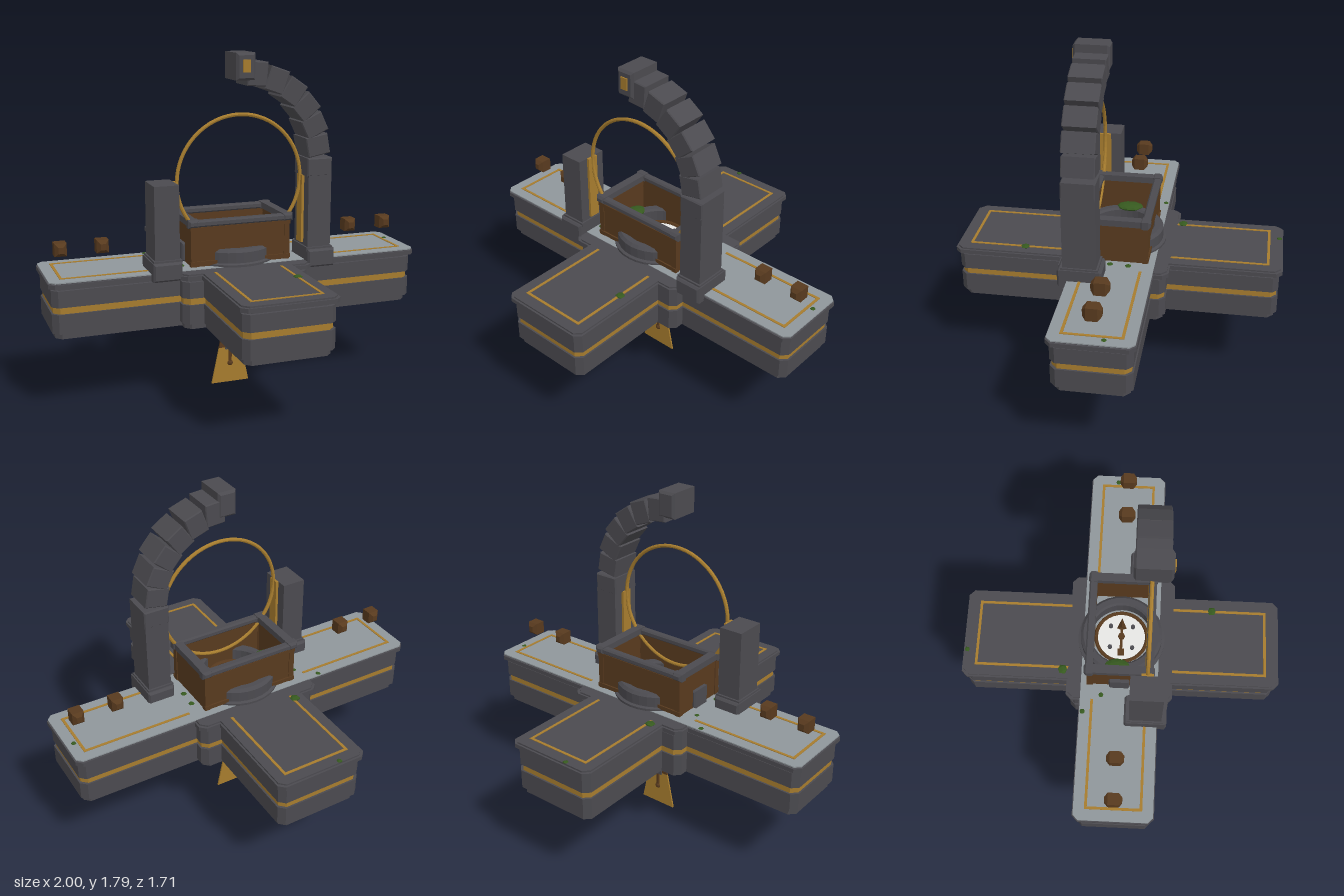
import * as THREE from 'three';

const mat = (name, color, extra = {}) => {
  const m = new THREE.MeshStandardMaterial({ color, flatShading: true, ...extra });
  m.name = name;
  return m;
};

export function createModel() {
  const root = new THREE.Group();
  const dark = mat('darkStone', 0x4b4a4f);
  const pale = mat('paleStone', 0x8f969a);
  const gold = mat('gold', 0xa67c2e);
  const brown = mat('bronze', 0x583a1e);
  const moss = mat('moss', 0x36591f);
  const white = mat('dialWhite', 0xeeeeec);

  const add = (name, geo, m, x = 0, y = 0, z = 0, parent = root) => {
    const mesh = new THREE.Mesh(geo, m);
    mesh.name = name;
    mesh.position.set(x, y, z);
    parent.add(mesh);
    return mesh;
  };
  const box = (name, m, w, h, d, x, y, z) => add(name, new THREE.BoxGeometry(w, h, d), m, x, y, z);
  // box with chamfered edges
  const chamferBox = (name, m, w, h, d, c, x, y, z) => {
    const a = w / 2 - c, b = h / 2 - c;
    const s = new THREE.Shape([[-a, -b], [a, -b], [a, b], [-a, b]].map(p => new THREE.Vector2(...p)));
    const g = new THREE.ExtrudeGeometry(s, { depth: d - 2 * c, bevelEnabled: true, bevelSize: c, bevelThickness: c, bevelSegments: 1 });
    g.translate(0, 0, -d / 2 + c);
    return add(name, g, m, x, y, z);
  };
  // horizontal outline raised from y0 to y1
  const slab = (name, m, pts, y0, y1) => {
    const s = new THREE.Shape(pts.map(p => new THREE.Vector2(...p)));
    const g = new THREE.ExtrudeGeometry(s, { depth: y1 - y0, bevelEnabled: false });
    g.rotateX(-Math.PI / 2);
    return add(name, g, m, 0, y0, 0);
  };
  // mirror a quarter outline into all four quadrants
  const mirror4 = q => {
    const r = [...q].reverse();
    return [...q, ...r.map(([x, z]) => [-x, z]), ...q.map(([x, z]) => [-x, -z]), ...r.map(([x, z]) => [x, -z])];
  };
  const cross = d => {
    const c = 0.03, X = 1 - d, Z = 0.855 - d, ax = 0.25 - d, az = 0.212 - d, cx = 0.355 - d, cz = 0.285 - d;
    return mirror4([[X, az - c], [X - c, az], [cx, az], [cx, cz - c], [cx - c, cz], [ax, cz], [ax, Z - c], [ax - c, Z]]);
  };

  // stepped cross-shaped platform
  [
    ['platformFoot', dark, 0.03, 0.42, 0.45],
    ['lowerCourse', dark, 0.015, 0.45, 0.55],
    ['goldBand', gold, 0.024, 0.55, 0.585],
    ['upperCourse', dark, 0.015, 0.585, 0.67],
    ['capRecess', dark, 0.03, 0.67, 0.683],
    ['cap', dark, 0, 0.683, 0.705],
    ['capTop', dark, 0.01, 0.705, 0.713],
  ].forEach(([n, m, d, y0, y1]) => slab(n, m, cross(d), y0, y1));
  slab('paleDeck', pale, mirror4([[0.995, 0.18], [0.968, 0.207]]), 0.71, 0.716);

  // gold inlays on the four arms
  for (const s of [-1, 1]) {
    box('inlayEnd', gold, 0.014, 0.006, 0.3, s * 0.93, 0.716, 0);
    box('inlayEnd', gold, 0.37, 0.006, 0.014, 0, 0.713, s * 0.78);
    for (const t of [-1, 1]) {
      box('inlaySide', gold, 0.58, 0.006, 0.014, s * 0.64, 0.716, t * 0.143);
      box('inlaySide', gold, 0.014, 0.006, 0.5, s * 0.178, 0.713, t * 0.53);
    }
  }

  // round kerb around the centre
  const kerb = [[0.165, 0.71], [0.165, 0.79], [0.175, 0.8], [0.205, 0.8], [0.22, 0.785], [0.22, 0.73], [0.235, 0.725], [0.235, 0.71]]
    .reverse().map(p => new THREE.Vector2(...p));
  const kerbMat = dark.clone();
  kerbMat.side = THREE.DoubleSide;
  add('kerbRing', new THREE.LatheGeometry(kerb, 32), kerbMat);

  // dial, needle and studs
  add('dial', new THREE.CylinderGeometry(0.135, 0.135, 0.02, 32), white, 0, 0.725, 0);
  const rim = add('dialRim', new THREE.TorusGeometry(0.138, 0.01, 6, 32), brown, 0, 0.738, 0);
  rim.rotation.x = Math.PI / 2;
  box('needle', brown, 0.15, 0.012, 0.014, -0.02, 0.75, 0);
  const tip = add('needleTip', new THREE.ConeGeometry(0.026, 0.06, 4), brown, 0.075, 0.75, 0);
  tip.rotation.z = -Math.PI / 2;
  box('needleTail', brown, 0.035, 0.012, 0.035, -0.09, 0.75, 0);
  add('needleHub', new THREE.CylinderGeometry(0.018, 0.018, 0.02, 8), brown, 0, 0.75, 0);
  for (const x of [-0.06, 0.06]) for (const z of [-0.06, 0.06])
    add('dialStud', new THREE.CylinderGeometry(0.012, 0.012, 0.015, 8), dark, x, 0.742, z);

  // open bronze chest with stone rim
  for (const s of [-1, 1]) {
    box('chestLongWall', brown, 0.53, 0.215, 0.022, 0, 0.825, s * 0.156);
    box('chestEndWall', brown, 0.022, 0.215, 0.3, s * 0.254, 0.825, 0);
    box('chestBaseTrim', brown, 0.545, 0.022, 0.012, 0, 0.735, s * 0.169);
    box('chestTopTrim', brown, 0.545, 0.02, 0.012, 0, 0.915, s * 0.169);
    chamferBox('rimLong', dark, 0.56, 0.034, 0.042, 0.008, 0, 0.942, s * 0.158);
    chamferBox('rimEnd', dark, 0.046, 0.034, 0.35, 0.008, s * 0.256, 0.944, 0);
    for (const t of [-1, 1]) {
      box('chestPost', brown, 0.03, 0.215, 0.03, s * 0.255, 0.825, t * 0.156);
      chamferBox('rimCorner', dark, 0.056, 0.042, 0.056, 0.012, s * 0.257, 0.943, t * 0.156);
    }
  }
  chamferBox('chestSidePlate', dark, 0.022, 0.1, 0.11, 0.008, -0.273, 0.77, 0);

  // two pillars with plinths and gold ring mounts
  for (const [s, top] of [[-1, 1.16], [1, 1.17]]) {
    chamferBox('plinth', dark, 0.15, 0.095, 0.225, 0.01, s * 0.415, 0.728, 0.145);
    box('plinthStep', dark, 0.145, 0.02, 0.19, s * 0.411, 0.775, 0.145);
    box('pillar', dark, 0.128, top - 0.76, 0.17, s * 0.411, (top + 0.76) / 2, 0.145);
    box('ringMount', gold, 0.014, 0.36, 0.06, s * 0.34, 0.98, 0.145);
  }

  // broken arch of stone blocks
  chamferBox('archBlock', dark, 0.137, 0.095, 0.172, 0.006, 0.409, 1.205, 0.145);
  for (let i = 0; i < 6; i++) {
    const deg = 6 + i * 15, a = deg * Math.PI / 180, r = 0.4 + 0.004 * i;
    const b = chamferBox('archBlock', dark, 0.122, 0.104, 0.168, 0.005, r * Math.cos(a), 1.275 + r * Math.sin(a), 0.145);
    b.rotation.z = a + 0.08;
  }
  chamferBox('archHead', dark, 0.1, 0.135, 0.185, 0.012, 0, 1.727, 0.148);
  box('archHeadPlate', gold, 0.04, 0.062, 0.008, 0, 1.73, 0.243);

  // large gold hoop
  add('hoop', new THREE.TorusGeometry(0.334, 0.01, 8, 64), gold, 0, 1.15, 0.145);

  // floating bronze nuggets
  for (const x of [-0.905, -0.692, 0.692, 0.905])
    chamferBox('floatingStone', brown, 0.062, 0.068, 0.092, 0.018, x, 0.832, 0);

  // hanging bracket with bolts
  add('bracket', new THREE.CylinderGeometry(0.068, 0.068, 0.03, 12), brown, 0, 0.405, 0);
  add('bracketLower', new THREE.CylinderGeometry(0.055, 0.045, 0.026, 12), brown, 0, 0.378, 0);
  for (let i = 0; i < 6; i++) {
    const a = i * Math.PI / 3;
    add('bracketBolt', new THREE.CylinderGeometry(0.012, 0.012, 0.04, 6), brown, 0.056 * Math.cos(a), 0.384, 0.056 * Math.sin(a));
  }

  // pendant blade, bronze above and gold below
  const plate = (name, m, y0, w0, y1, w1, t) => {
    const s = new THREE.Shape([[-w0, y0], [w0, y0], [w1, y1], [-w1, y1]].map(p => new THREE.Vector2(...p)));
    const g = new THREE.ExtrudeGeometry(s, { depth: t, bevelEnabled: false });
    return add(name, g, m, 0, 0, -t / 2);
  };
  plate('pendantBlade', gold, 0, 0.106, 0.2, 0.064, 0.009);
  plate('pendantTop', brown, 0.2, 0.064, 0.325, 0.038, 0.012);
  add('pendantRod', new THREE.CylinderGeometry(0.011, 0.011, 0.27, 8), brown, 0, 0.24, 0);
  box('pendantSleeve', dark, 0.058, 0.09, 0.024, 0, 0.235, 0);
  box('pendantSleeveCap', dark, 0.034, 0.03, 0.022, 0, 0.29, 0);
  add('pendantBob', new THREE.IcosahedronGeometry(0.017, 1), brown, 0, 0.108, 0);

  // moss tufts: x, z, radius
  [
    [-0.19, -0.31, 0.028], [-0.42, -0.19, 0.016], [-0.325, -0.095, 0.015], [-0.31, 0.11, 0.025],
    [0.3, -0.075, 0.018], [0.295, 0.02, 0.018], [0.955, -0.06, 0.015], [0.18, 0.49, 0.025], [-0.1, -0.835, 0.015],
  ].forEach(([x, z, r]) => add('mossTuft', new THREE.IcosahedronGeometry(r, 0), moss, x, 0.715, z).scale.y = 0.4);
  add('chestMoss', new THREE.IcosahedronGeometry(0.06, 1), moss, -0.192, 0.8, -0.015).scale.set(0.8, 0.3, 1.2);

  return root;
}
